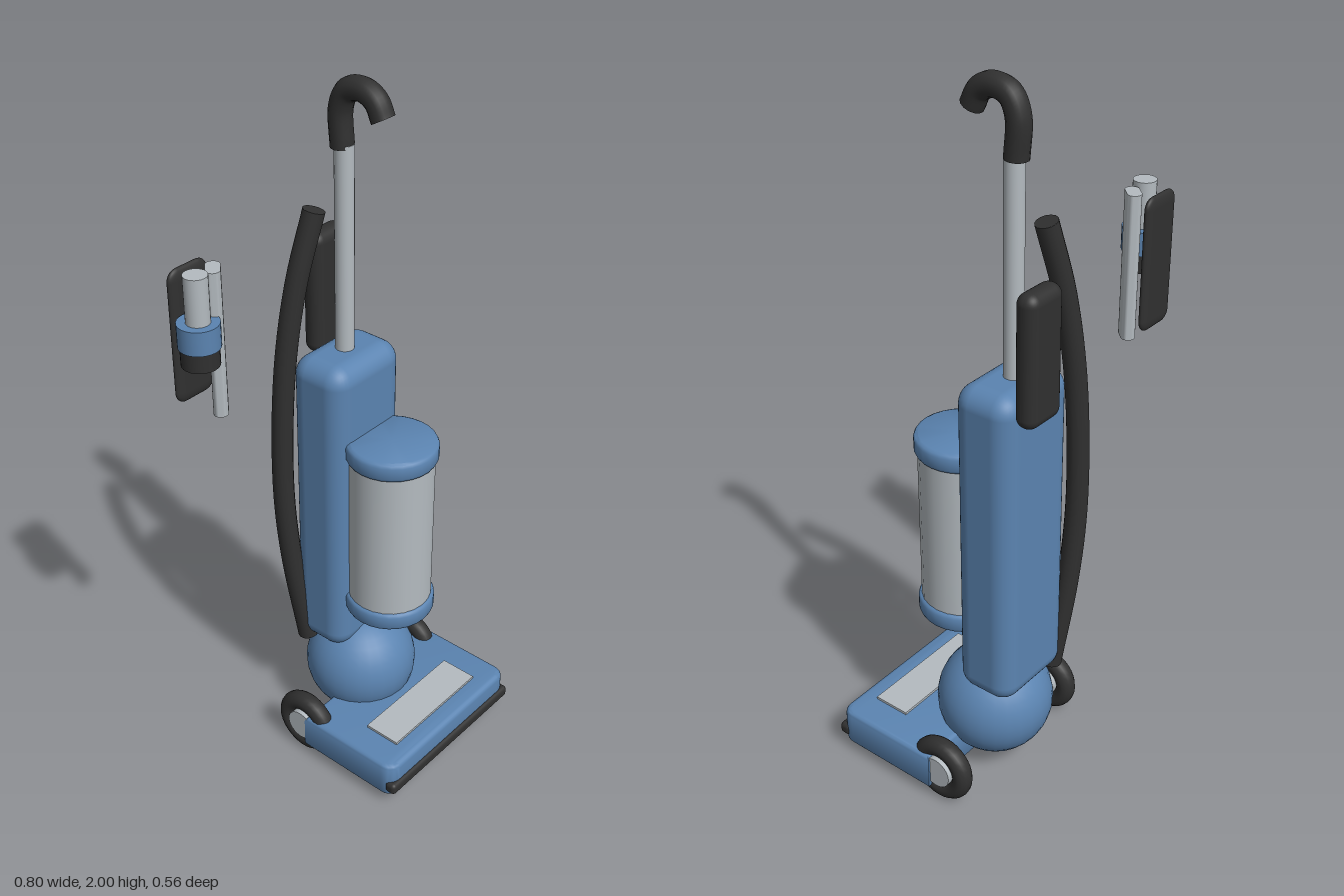
import * as THREE from 'three';
import { toCreasedNormals } from 'three/addons/utils/BufferGeometryUtils.js';
import { RoundedBoxGeometry } from 'three/addons/geometries/RoundedBoxGeometry.js';

const material = (name, color) => {
  const m = new THREE.MeshStandardMaterial({ color });
  m.name = name;
  return m;
};

export function createModel() {
  const model = new THREE.Group();
  model.name = 'uprightVacuum';
  const blue = material('blue plastic', 0x5b84b1);
  const black = material('black rubber', 0x303030);
  const grey = material('light grey plastic', 0xb4bbc0);
  const CX = 0.123; // centre line of the machine

  const add = (name, geometry, mat, x = 0, y = 0, z = 0, parent = model) => {
    const mesh = new THREE.Mesh(geometry, mat);
    mesh.name = name;
    mesh.position.set(x, y, z);
    parent.add(mesh);
    return mesh;
  };
  const rounded = (w, h, d, r) => new RoundedBoxGeometry(w, h, d, 4, r);

  // Upright cylinder between two heights
  const post = (name, mat, r, y0, y1, x, z) =>
    add(name, new THREE.CylinderGeometry(r, r, y1 - y0, 24), mat, x, (y0 + y1) / 2, z);

  // Closed bent tube through a few points
  const bentTube = (name, points, r, mat) => {
    const group = new THREE.Group();
    group.name = name;
    const curve = new THREE.CatmullRomCurve3(points.map((p) => new THREE.Vector3(...p)));
    add(name + 'Tube', new THREE.TubeGeometry(curve, 40, r, 14), mat, 0, 0, 0, group);
    for (const t of [0, 1]) {
      const end = curve.getPoint(t);
      const out = curve.getTangent(t).multiplyScalar(t ? 1 : -1);
      const cap = add(name + 'End', new THREE.CircleGeometry(r, 14), mat, end.x, end.y, end.z, group);
      cap.lookAt(end.clone().add(out));
    }
    model.add(group);
  };

  // Floor head: square at the back, rounded front corners, softened edges
  const bevel = 0.016;
  const w = 0.275 - bevel, back = -0.06 + bevel, front = 0.27 - bevel, r = 0.025;
  const plan = new THREE.Shape();
  plan.moveTo(-w, -back);
  plan.lineTo(-w, -front + r);
  plan.quadraticCurveTo(-w, -front, -w + r, -front);
  plan.lineTo(w - r, -front);
  plan.quadraticCurveTo(w, -front, w, -front + r);
  plan.lineTo(w, -back);
  plan.closePath();
  const head = new THREE.ExtrudeGeometry(plan, {
    depth: 0.115 - 2 * bevel, bevelThickness: bevel, bevelSize: bevel, bevelSegments: 4, curveSegments: 8,
  });
  head.rotateX(-Math.PI / 2);
  add('floorHead', toCreasedNormals(head, 0.7), blue, CX + 0.002, 0.03 + bevel, 0);
  add('frontBumper', rounded(0.55, 0.036, 0.036, 0.012), black, CX + 0.002, 0.068, 0.262);
  add('headWindow', new THREE.BoxGeometry(0.366, 0.009, 0.11), grey, CX, 0.148, 0.16);

  // Wheels, mirrored about the centre line
  for (const side of [-1, 1]) {
    const wheel = new THREE.Group();
    wheel.name = side > 0 ? 'leftWheel' : 'rightWheel';
    wheel.position.set(CX + side * 0.24, 0.1, -0.08);
    wheel.rotation.y = Math.PI / 2;
    add('tyre', new THREE.TorusGeometry(0.07, 0.028, 14, 32), black, 0, 0, 0, wheel);
    const hub = new THREE.CylinderGeometry(0.046, 0.046, 0.062, 24).rotateX(Math.PI / 2);
    add('hub', hub, grey, 0, 0, 0, wheel);
    model.add(wheel);
  }

  // Swivel ball and main body
  add('swivelBall', new THREE.SphereGeometry(0.164, 28, 20), blue, CX, 0.2, -0.075);
  add('mainBody', rounded(0.27, 0.945, 0.18, 0.055), blue, CX, 0.778, -0.13);

  // Dust canister with softened caps
  const canisterZ = 0.032;
  post('dustCanister', grey, 0.119, 0.5, 0.99, CX, canisterZ);
  const capProfile = [[0, 0], [0.116, 0], [0.124, 0.004], [0.128, 0.012], [0.128, 0.045],
    [0.124, 0.053], [0.116, 0.057], [0, 0.057]].map((p) => new THREE.Vector2(...p));
  for (const [name, y] of [['canisterBase', 0.462], ['canisterLid', 0.972]]) {
    add(name, toCreasedNormals(new THREE.LatheGeometry(capProfile, 28), 0.9), blue, CX, y, canisterZ);
  }

  // Stem, hooked handle and hose
  post('handleStem', grey, 0.026, 1.2, 1.82, CX, -0.135);
  bentTube('handle', [[CX, 1.81, -0.141], [CX, 1.91, -0.145], [CX, 1.957, -0.122],
    [CX, 1.969, -0.075], [CX, 1.95, -0.035], [CX, 1.91, -0.013]], 0.031, black);
  bentTube('hose', [[0.01, 0.3, -0.185], [-0.022, 0.6, -0.215], [-0.033, 0.85, -0.227],
    [-0.02, 1.2, -0.222], [0.015, 1.45, -0.207], [0.065, 1.65, -0.185]], 0.03, black);

  // Rear pad
  add('rearPad', rounded(0.13, 0.357, 0.063, 0.03), black, 0.179, 1.366, -0.252);

  // Separate tool set
  const pad = add('toolPad', rounded(0.127, 0.367, 0.064, 0.031), black, -0.308, 1.438, -0.258);
  pad.scale.z = 0.37;
  const toolX = -0.346, toolZ = -0.188;
  post('toolTube', grey, 0.031, 1.4, 1.63, toolX, toolZ);
  post('toolCollar', blue, 0.054, 1.44, 1.505, toolX, toolZ);
  post('toolBrush', black, 0.049, 1.39, 1.44, toolX, toolZ);

  // Crevice tool: flat oval bar
  const oval = new THREE.Shape();
  oval.absarc(0.015, 0, 0.019, -Math.PI / 2, Math.PI / 2);
  oval.absarc(-0.015, 0, 0.019, Math.PI / 2, Math.PI * 1.5);
  const bar = new THREE.ExtrudeGeometry(oval, { depth: 0.4, bevelEnabled: false, curveSegments: 8 });
  bar.rotateX(-Math.PI / 2);
  add('creviceTool', toCreasedNormals(bar, 0.7), grey, -0.279, 1.22, -0.198).rotation.y = Math.PI / 4;

  return model;
}
